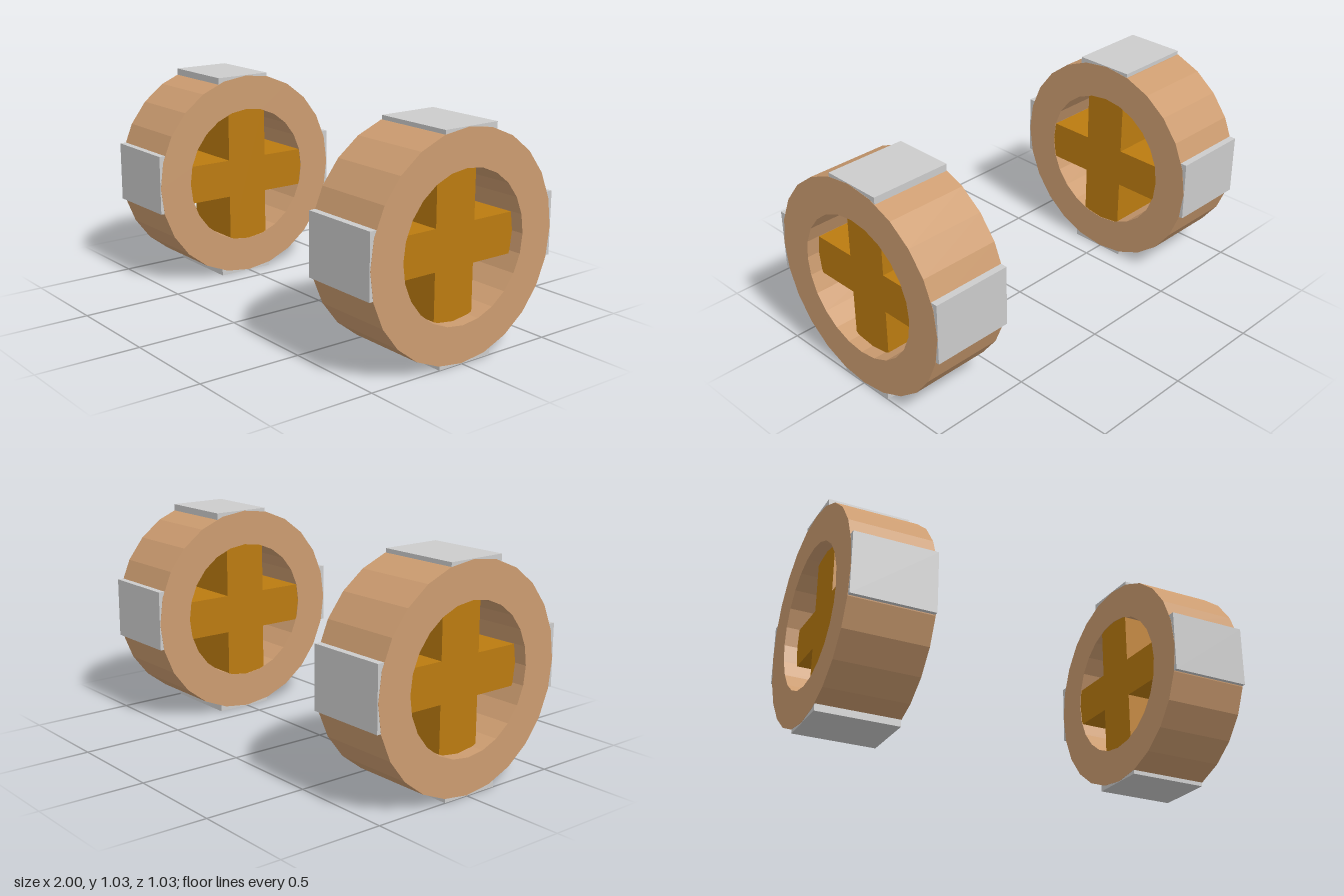
import * as THREE from 'three';

const RADIUS = 0.515, HOLE = 0.343, WIDTH = 0.395, AXLE_Y = 0.5175, SIDES = 24;

const material = (color) => new THREE.MeshStandardMaterial({ color, flatShading: true });
const wood = material(0xcc9c70);
const darkWood = material(0xbb7b10);
const metal = material(0xcccccc);

// Regular polygon with a corner on each axis
function polygon(radius) {
  return Array.from({ length: SIDES }, (_, i) => {
    const a = (i / SIDES) * Math.PI * 2;
    return new THREE.Vector2(Math.cos(a) * radius, Math.sin(a) * radius);
  });
}

function addBox(parent, name, size, position, mat) {
  const mesh = new THREE.Mesh(new THREE.BoxGeometry(...size), mat);
  mesh.name = name;
  mesh.position.set(...position);
  parent.add(mesh);
}

// Wheel around the x axis, with its outer side towards +x
function createWheel() {
  const wheel = new THREE.Group();

  // Faceted rim with an open middle
  const shape = new THREE.Shape(polygon(RADIUS));
  shape.holes.push(new THREE.Path(polygon(HOLE)));
  const rimGeometry = new THREE.ExtrudeGeometry(shape, { depth: WIDTH, bevelEnabled: false });
  rimGeometry.translate(0, 0, -WIDTH / 2).rotateY(Math.PI / 2);
  const rim = new THREE.Mesh(rimGeometry, wood);
  rim.name = 'rim';
  wheel.add(rim);

  // Crossed spokes, recessed on the outer side and sunk into the rim
  const spokeWidth = 0.33, spokeX = -0.03;
  addBox(wheel, 'verticalSpoke', [spokeWidth, 0.74, 0.22], [spokeX, 0, 0], darkWood);
  for (const side of [-1, 1]) {
    addBox(wheel, 'horizontalSpoke', [spokeWidth, 0.19, 0.25], [spokeX, -0.0075, side * 0.235], darkWood);
  }

  // Four tread plates, set slightly off centre
  const thickness = 0.035, plateWidth = WIDTH - 0.002;
  const reach = AXLE_Y - thickness / 2;
  for (const side of [-1, 1]) {
    addBox(wheel, 'treadPlate', [plateWidth, thickness, 0.293], [0, side * reach, -0.018], metal);
    addBox(wheel, 'treadPlate', [plateWidth, 0.293, thickness], [0, 0.018, side * reach], metal);
  }
  return wheel;
}

export function createModel() {
  const model = new THREE.Group();
  model.name = 'wheelPair';
  for (const side of [1, -1]) {
    const wheel = createWheel();
    wheel.name = side > 0 ? 'leftWheel' : 'rightWheel';
    wheel.position.set(side * (1 - WIDTH / 2), AXLE_Y, 0);
    if (side < 0) wheel.rotation.y = Math.PI;
    model.add(wheel);
  }
  return model;
}
